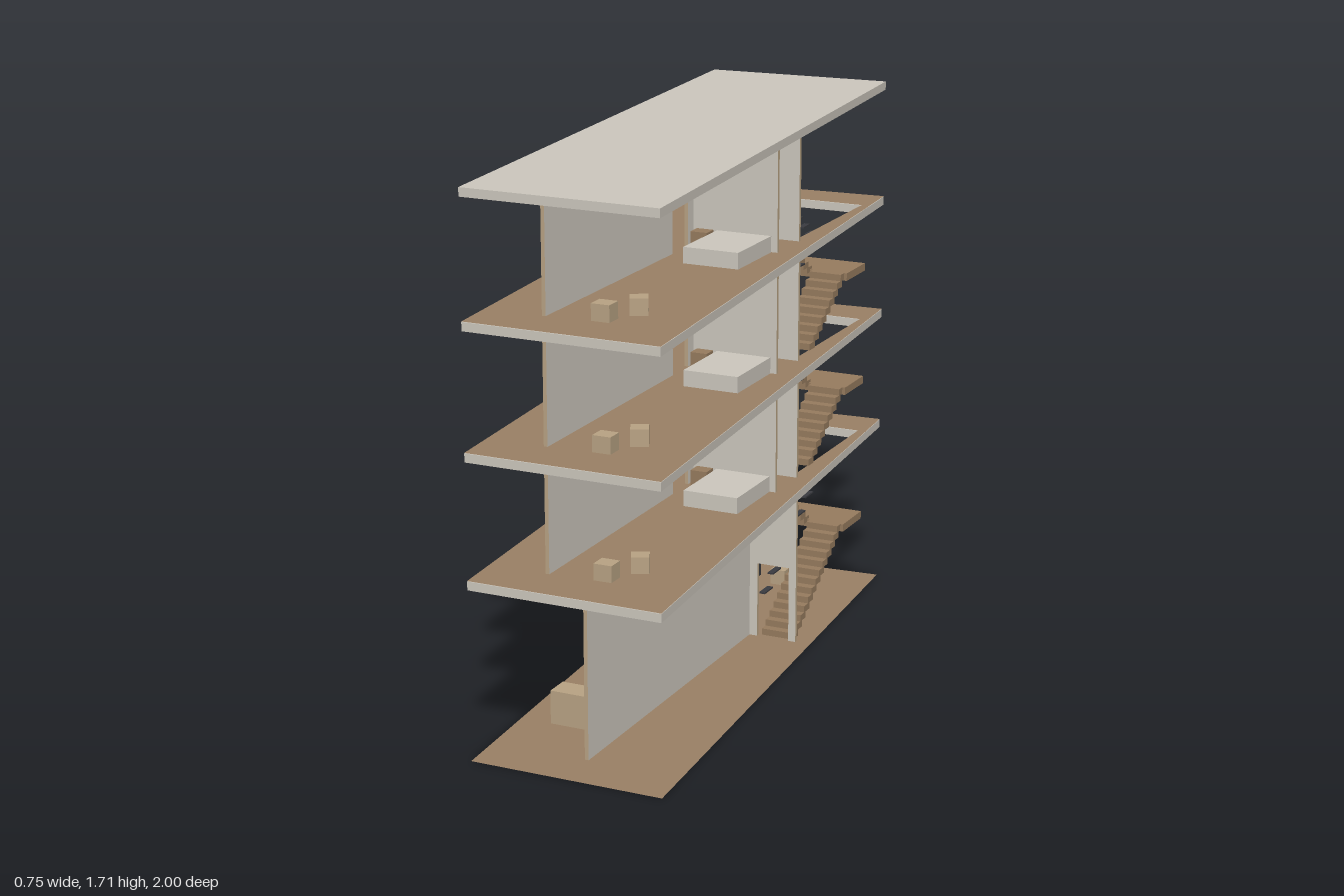
import * as THREE from 'three';

const mat = (name, color, side = THREE.FrontSide) => {
  const m = new THREE.MeshStandardMaterial({ color, side });
  m.name = name;
  return m;
};

export function createModel() {
  const model = new THREE.Group();
  const concrete = mat('concrete', 0xccc7bd);
  const timber = mat('timber floor', 0x9a8065, THREE.DoubleSide);
  const tan = mat('tan wood', 0xb8a283);
  const brown = mat('brown wood', 0x967b5e);
  const dark = mat('dark panel', 0x3a3b40);

  const add = (parent, name, geometry, material) => {
    const mesh = new THREE.Mesh(geometry, material);
    mesh.name = name;
    parent.add(mesh);
    return mesh;
  };
  // box given by its extents
  const box = (parent, name, material, x0, x1, y0, y1, z0, z1) => {
    const mesh = add(parent, name, new THREE.BoxGeometry(x1 - x0, y1 - y0, z1 - z0), material);
    mesh.position.set((x0 + x1) / 2, (y0 + y1) / 2, (z0 + z1) / 2);
    return mesh;
  };
  const toShape = (pts) => new THREE.Shape(pts.map(([a, b]) => new THREE.Vector2(a, b)));
  const extrude = (shape, depth) => new THREE.ExtrudeGeometry(shape, { depth, bevelEnabled: false });

  // thin wall with wooden edges; crosswise walls face z, lengthwise walls face x
  const crossWall = (parent, name, pts, z) =>
    add(parent, name, extrude(toShape(pts), 0.012), [concrete, tan]).position.z = z;
  const longWall = (parent, name, pts, x) => {
    const g = extrude(toShape(pts.map(([z, y]) => [-z, y])), 0.012).rotateY(Math.PI / 2);
    add(parent, name, g, [concrete, tan]).position.x = x;
  };

  // skewed floor plan, optionally with the stairwell cut out
  const plan = (withHole) => {
    const s = toShape([[-0.245, -1], [0.375, -1], [0.22, 1], [-0.38, 0.96]]);
    if (withHole) {
      s.holes.push(new THREE.Path([[-0.04, 0.3], [-0.04, 0.845], [0.205, 0.845], [0.205, 0.3]]
        .map(([a, b]) => new THREE.Vector2(a, b))));
    }
    return s;
  };
  const slab = (parent, y, withHole) => {
    add(parent, 'slab', extrude(plan(withHole), 0.027).rotateX(-Math.PI / 2), concrete).position.y = y;
    if (withHole) {
      add(parent, 'floorFinish', new THREE.ShapeGeometry(plan(true)).rotateX(-Math.PI / 2), timber)
        .position.y = y + 0.0285;
    }
  };

  // two flights with a half landing and a stepped handrail
  const stairs = (parent, y0, landingY, y1, zStart, zEnd, railStep) => {
    const g = new THREE.Group();
    g.name = 'staircase';
    parent.add(g);
    const zTurn = -0.7;
    const flight = (name, x0, x1, za, ya, zb, yb) => {
      const n = Math.round(Math.abs(yb - ya) / 0.0205);
      const dz = (zb - za) / n, dy = (yb - ya) / n;
      for (let i = 0; i < n; i++) {
        const zc = za + dz * (i + 0.5), y = ya + dy * i;
        box(g, name, brown, x0, x1, y, y + dy, zc - 0.021, zc + 0.021);
      }
      const rails = Math.round(Math.abs(zb - za) / railStep);
      for (let i = 0; i < rails; i++) {
        const t = (i + 0.5) / rails;
        const z = za + (zb - za) * t, y = ya + (yb - ya) * t + 0.115;
        box(g, 'handrailSegment', dark, 0.087, 0.107, y, y + 0.005, z - railStep / 2, z + railStep / 2);
      }
    };
    flight('lowerStep', 0.1, 0.21, zStart, y0, zTurn, landingY);
    flight('upperStep', -0.02, 0.09, zTurn, landingY - 0.01, zEnd, y1);
    box(g, 'landing', brown, -0.025, 0.22, landingY - 0.025, landingY, -0.845, -0.69);
  };

  // ground storey
  const ground = new THREE.Group();
  ground.name = 'groundStorey';
  model.add(ground);
  add(ground, 'groundPlate', new THREE.ShapeGeometry(plan(false)).rotateX(-Math.PI / 2), timber);
  longWall(ground, 'longWall', [[0.85, 0.001], [-0.29, 0.001], [-0.29, 0.53], [0.85, 0.53]], 0.051);
  crossWall(ground, 'stairWall', [[-0.055, 0.001], [0.09, 0.001], [0.09, 0.25], [0.2, 0.25],
    [0.2, 0.001], [0.225, 0.001], [0.225, 0.53], [-0.055, 0.53]], -0.3);
  crossWall(ground, 'entranceWall', [[-0.13, 0.001], [-0.07, 0.001], [-0.07, 0.53],
    [-0.23, 0.53], [-0.23, 0.25], [-0.13, 0.25]], -0.346);
  box(ground, 'receptionDesk', tan, -0.168, 0.032, 0.001, 0.107, 0.57, 0.65);
  box(ground, 'tanStool', tan, -0.072, -0.02, 0.001, 0.053, -0.815, -0.76);
  box(ground, 'darkStool', dark, -0.19, -0.138, 0.001, 0.053, -0.825, -0.77);
  stairs(ground, 0.001, 0.277, 0.53, -0.31, -0.32, 0.065);

  // three identical upper storeys
  const height = 0.385;
  for (let i = 0; i < 3; i++) {
    const storey = new THREE.Group();
    storey.name = 'upperStorey';
    storey.position.y = 0.53 + i * height;
    model.add(storey);
    slab(storey, 0, true);
    const f = 0.029, top = height;
    longWall(storey, 'longWall', [[0.85, f], [0.03, f], [0.03, 0.275], [-0.08, 0.275],
      [-0.08, f], [-0.12, f], [-0.12, top], [0.85, top]], -0.07);
    crossWall(storey, 'roomWall', [[-0.07, f], [0.225, f], [0.225, top], [-0.07, top]], -0.132);
    crossWall(storey, 'stairWall', [[0.05, f], [0.225, f], [0.225, top], [-0.07, top],
      [-0.07, 0.275], [0.05, 0.275]], -0.298);
    box(storey, 'balustrade', dark, -0.054, -0.044, f, 0.145, -0.845, -0.3);
    box(storey, 'bed', concrete, 0.023, 0.205, f, 0.08, -0.118, 0.124);
    box(storey, 'nightstand', brown, -0.045, 0.01, f, 0.08, -0.118, -0.07);
    box(storey, 'frontStool', tan, 0.08, 0.138, f, 0.08, 0.785, 0.84);
    const stool = box(storey, 'turnedStool', tan, 0.14, 0.194, f, 0.08, 0.685, 0.739);
    stool.rotation.y = 0.45;
    if (i < 2) stairs(storey, f, 0.22, top, -0.42, -0.44, 0.05);
  }
  // the last storey has no flight above it
  slab(model, 0.53 + 3 * height, false);
  return model;
}
